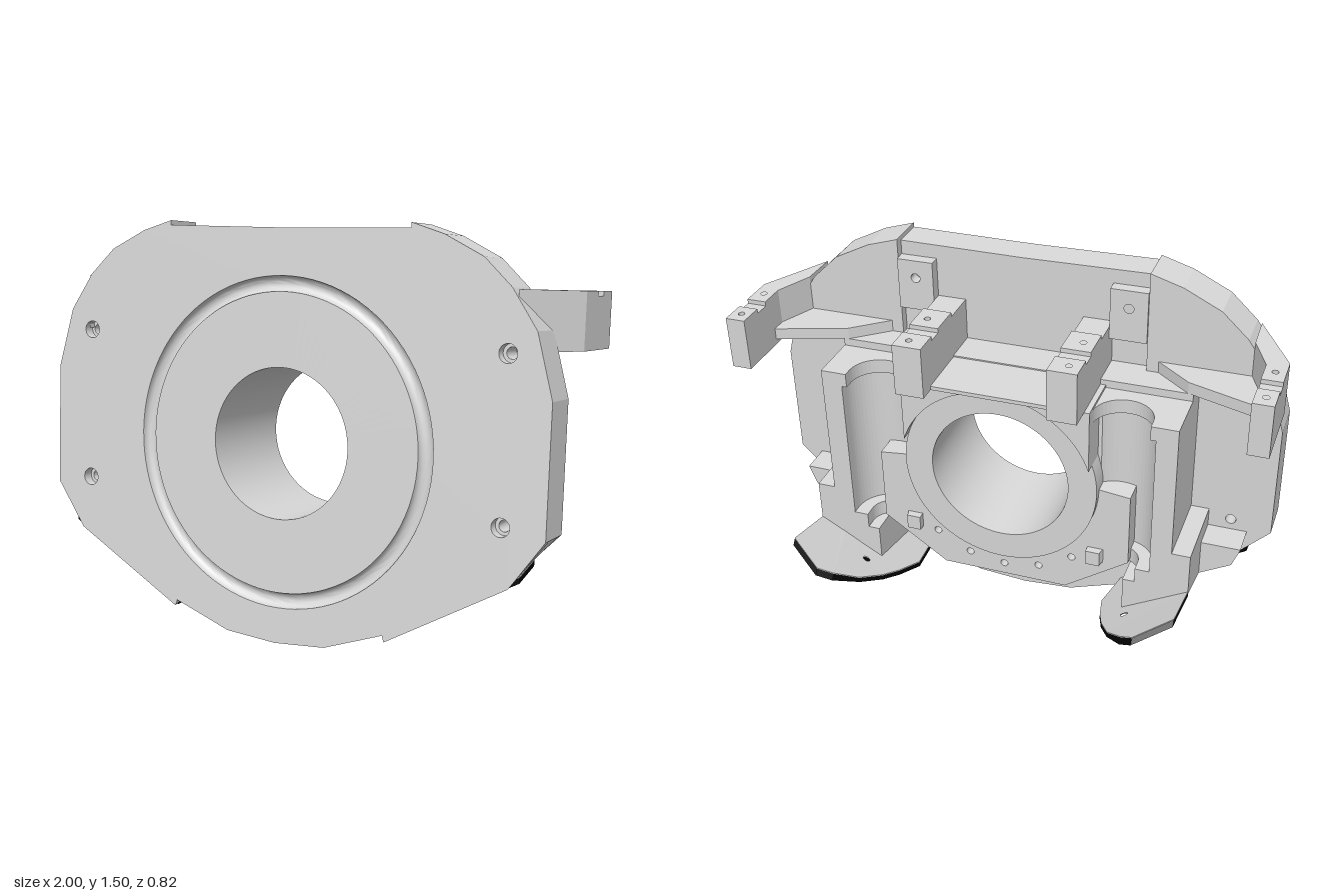
import * as THREE from 'three';
import { toCreasedNormals } from 'three/addons/utils/BufferGeometryUtils.js';

// Local frame: x across, v up the plate, w depth behind the front face.
const HUB = 0.715;
const finBase = x => -0.167 + 0.566 * Math.abs(x);
const finV = (x, w) => finBase(x) + 0.236 * w;

export function createModel() {
  const model = new THREE.Group();
  const tilted = new THREE.Group();
  tilted.name = 'tiltedHousing';
  tilted.position.set(0, 0.015, 0.41);
  tilted.rotation.x = -0.0635;
  model.add(tilted);

  const grey = new THREE.MeshStandardMaterial({ color: 0xd9d9d9 });
  grey.name = 'housing grey';
  const black = new THREE.MeshStandardMaterial({ color: 0x040404 });
  black.name = 'fin black';

  const add = (name, geo, mat = grey) => {
    const mesh = new THREE.Mesh(geo, mat);
    mesh.name = name;
    tilted.add(mesh);
    return mesh;
  };
  const makeShape = (pts, holes = []) => {
    const shape = new THREE.Shape(pts.map(p => new THREE.Vector2(p[0], p[1])));
    for (const [x, y, rx, ry = rx] of holes) {
      shape.holes.push(new THREE.Path().absellipse(x, y, rx, ry, 0, Math.PI * 2, true));
    }
    return shape;
  };
  const remap = (geo, rule) => {
    const p = geo.attributes.position;
    for (let i = 0; i < p.count; i++) p.setXYZ(i, ...rule(p.getX(i), p.getY(i), p.getZ(i)));
    geo.computeVertexNormals();
    return geo;
  };
  const extrude = (shape, depth) =>
    new THREE.ExtrudeGeometry(shape, { depth, bevelEnabled: false, curveSegments: 48 });

  // (x, v) outline from depth w0 to w1; corners on the fin line follow its slope,
  // with a small lip at the very front that covers the fin's front edge
  const facing = (name, pts, holes, w0, w1) =>
    add(name, remap(extrude(makeShape(pts, holes), w1 - w0), (x, v, z) => {
      const w = w1 - z;
      const onFin = Math.abs(v - finBase(x)) < 0.004;
      return [x, onFin ? v + (w < 0.001 ? -0.01 : 0.236 * w) : v, -w];
    }));
  // (x, w) outline running from height v0 to v1
  const upright = (name, pts, holes, v0, v1) =>
    add(name, remap(extrude(makeShape(pts, holes), v1 - v0), (x, w, z) => [x, z + v0, -w]));

  const mirrorOutline = half =>
    [...half, ...half.slice().reverse().filter(p => p[0] > 0).map(([x, v]) => [-x, v])];
  const arc = (cx, cy, r, a0, a1, n) => Array.from({ length: n + 1 }, (_, i) => {
    const a = a0 + (a1 - a0) * i / n;
    return [cx + r * Math.cos(a), cy + r * Math.sin(a)];
  });

  // Front plate in three layers: counterbored face, core, and back with a top recess
  const side = [[0, -0.005], [0.2, 0.01], [0.425, 0.09], [0.432, finBase(0.432)], [0.87, finBase(0.87)],
    [0.99, 0.485], [0.99, 0.935], [0.93, 1.155], [0.84, 1.29], [0.74, 1.385], [0.6, 1.455], [0.48, 1.492]];
  const full = mirrorOutline([...side, [0.48, 1.475], [0, 1.47]]);
  const recessed = mirrorOutline([...side, [0.48, 1.1], [0, 1.1]]);
  const bolts = r => [-1, 1].flatMap(s => [0.515, 1.08].map(v => [s * 0.835, v, r]));
  facing('plateFace', full, [[0, HUB, 0.59], ...bolts(0.032)], 0, 0.04);
  facing('plateCore', full, [[0, HUB, 0.275], ...bolts(0.02)], 0.04, 0.125);
  facing('plateBack', recessed, [[0, HUB, 0.275], ...bolts(0.02)], 0.125, 0.16);

  // Face disc with round groove, bore and rear ring in one turned part
  const groove = arc(0.5625, 0, 0.0275, 0, -Math.PI, 10);
  const profile = [...groove, [0.27, 0], [0.27, -0.43], [0.38, -0.43], [0.38, -0.16]]
    .map(([r, y]) => new THREE.Vector2(r, y));
  const turned = new THREE.LatheGeometry(profile, 96);
  turned.rotateX(Math.PI / 2);
  add('groovedDiscAndBore', toCreasedNormals(turned, 0.5)).position.y = HUB;

  // Rear hub arch, its roof, and the bolted lower flange
  facing('hubArch', [[0.36, 1.085], [-0.36, 1.085], ...arc(0, HUB, 0.38, Math.PI - 0.325, 0.325, 32)],
    [], 0.16, 0.475);
  facing('hubRoof', [[-0.24, 1.085], [0.24, 1.085], [0.24, 1.1], [-0.24, 1.1]], [], 0.16, 0.495);
  const flangeBolts = [-2.25, -1.9, -1.57, -1.24, -0.89]
    .map(a => [0.44 * Math.cos(a), HUB + 0.44 * Math.sin(a), 0.015]);
  facing('hubFlange', [[-0.5, 0.7], [-0.5, 0.4], [-0.25, 0.225], [0.25, 0.225], [0.5, 0.4], [0.5, 0.7],
    ...arc(0, HUB, 0.37, 0, -Math.PI, 40)], flangeBolts, 0.16, 0.4);

  // Shelf joining the arms
  upright('shelf', [[-0.68, 0.12], [0.68, 0.12], [0.68, 0.27], [-0.68, 0.27]], [], 1.06, 1.105);

  for (const s of [-1, 1]) {
    const m = pts => pts.map(([x, y]) => [s * x, y]);

    // Side block with a vertical round channel and narrower seats at both ends
    const channel = (r, w, end) => m([[0.34, 0.16], [0.68, 0.16], [0.68, 0.475], [0.47 + r, 0.475],
      ...arc(0.47, w, r, 0, end, 20), [0.34, w + r * Math.sin(end)]]);
    upright('channelBlock', channel(0.13, 0.44, -2.4), [], 0.44, 1.02);
    upright('channelTopSeat', channel(0.11, 0.44, -Math.PI), [], 1.02, 1.075);
    upright('channelBottomSeat', channel(0.075, 0.43, -Math.PI), [], 0.38, 0.44);

    // Lower block resting on the fin, with a shallow step outboard
    facing('lowerBlock', m([[0.5, finBase(0.5)], [0.75, finBase(0.75)], [0.75, 0.545],
      [0.66, 0.545], [0.66, 0.38], [0.5, 0.38]]), [], 0.16, 0.475);
    facing('lowerStep', m([[0.75, finBase(0.75)], [0.87, finBase(0.87)], [0.9, 0.47], [0.75, 0.47]]),
      [], 0.16, 0.28);

    // Bracket in the corner of the top recess
    facing('recessBracket', m([[0.34, 1.22], [0.48, 1.22], [0.48, 1.42], [0.34, 1.42]]),
      [[s * 0.41, 1.35, 0.018]], 0.125, 0.17);

    // Outer arm: angled wall, two raised pads and a thin web
    const armWall = [[1, 0.27], [0.858, 0.012], [0.862, 0.16], [0.925, 0.3]];
    upright('outerArm', m([[1, 0.56], ...armWall, [0.925, 0.56]]), [], 1.085, 1.268);
    upright('outerArmFrontPad', m([[1, 0.4], ...armWall, [0.925, 0.4]]),
      [[s * 0.963, 0.34, 0.012]], 1.268, 1.285);
    upright('outerArmRearPad', m([[0.925, 0.46], [1, 0.46], [1, 0.56], [0.925, 0.56]]),
      [[s * 0.963, 0.51, 0.012]], 1.268, 1.285);
    upright('armWeb', m([[0.93, 0.36], [0.93, 0.3], [0.86, 0.14], [0.5, 0.14], [0.66, 0.27]]), [], 1.105, 1.15);

    // Inner arm with matching pads
    upright('innerArm', m([[0.23, 0.12], [0.34, 0.12], [0.34, 0.56], [0.23, 0.56]]), [], 1.085, 1.268);
    upright('innerArmFrontPad', m([[0.23, 0.27], [0.34, 0.27], [0.34, 0.4], [0.23, 0.4]]),
      [[s * 0.295, 0.34, 0.012]], 1.268, 1.285);
    upright('innerArmRearPad', m([[0.23, 0.46], [0.34, 0.46], [0.34, 0.56], [0.23, 0.56]]),
      [[s * 0.295, 0.51, 0.012]], 1.268, 1.285);

    // Sloping fin: black underside and edges, grey top skin, tip edge leaning inward
    const fin = m([[0.43, 0.012], [0.905, 0.012], [0.905, 0.15], [0.75, 0.16], [0.7, 0.39], [0.75, 0.47],
      [0.75, 0.72], [0.62, 0.8], [0.57, 0.77], [0.5, 0.68], [0.45, 0.58], [0.42, 0.49], [0.39, 0.36]]);
    const finHoles = [[s * 0.6, 0.25, 0.085, 0.05], [s * 0.53, 0.55, 0.013]];
    const finLayer = (name, d0, d1, mat) =>
      add(name, remap(extrude(makeShape(fin, finHoles), d1 - d0), (x, w, z) => {
        const lean = w > 0.7 ? Math.min(0.02, d0 + z + 0.01) * 0.8 : 0;
        return [x, finV(x, w) + d0 + z, lean - w];
      }), mat);
    finLayer('fin', -0.01, 0.01, black);
    finLayer('finTopSkin', 0.01, 0.014, grey);
  }
  return model;
}
